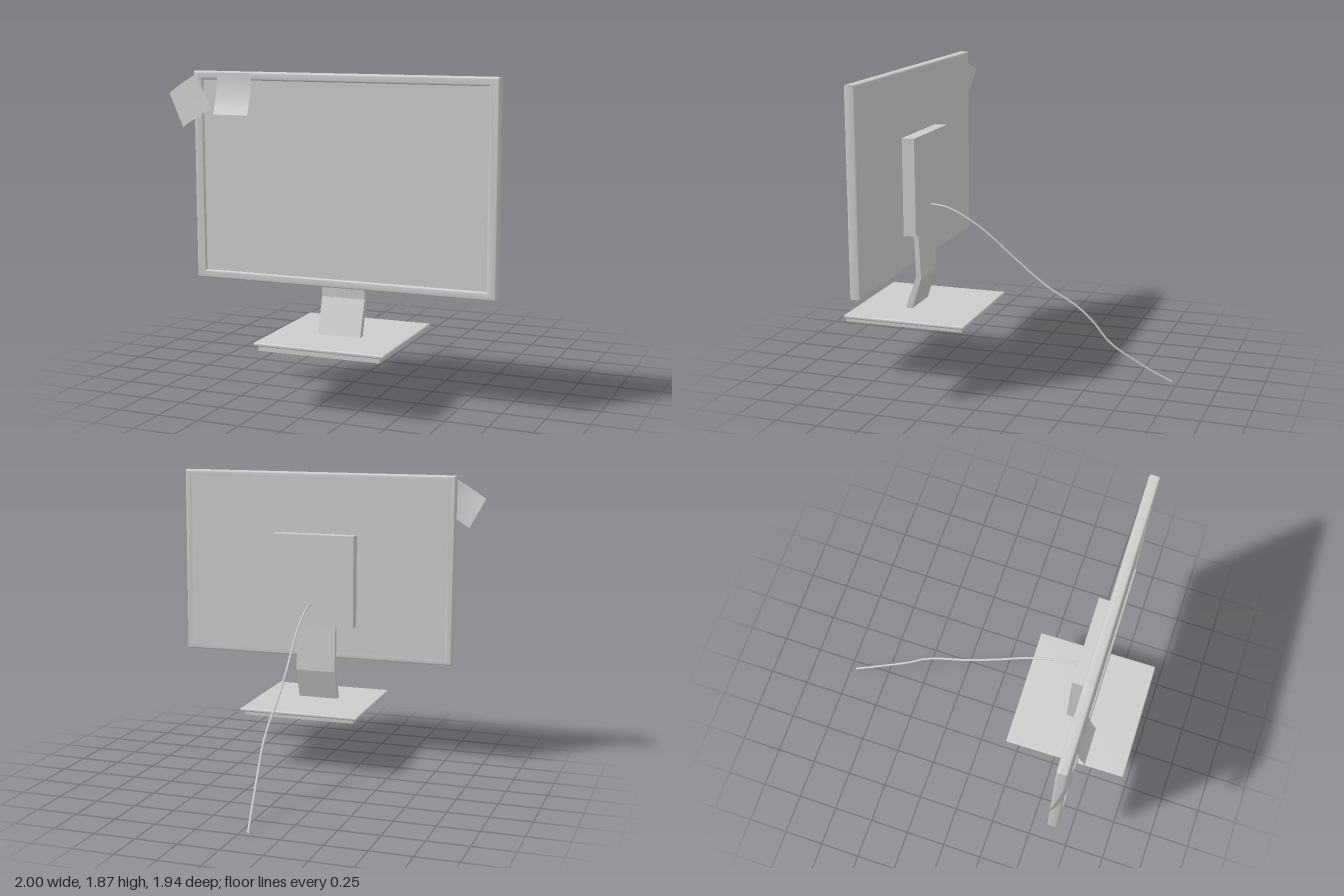
import * as THREE from 'three';
import { RoundedBoxGeometry } from 'three/addons/geometries/RoundedBoxGeometry.js';
import { toCreasedNormals } from 'three/addons/utils/BufferGeometryUtils.js';

const grey = new THREE.MeshStandardMaterial({ color: 0xcccccc });
const thin = new THREE.MeshStandardMaterial({ color: 0xcccccc, side: THREE.DoubleSide });

function add(parent, name, geometry, x = 0, y = 0, z = 0, material = grey) {
  const mesh = new THREE.Mesh(geometry, material);
  mesh.name = name;
  mesh.position.set(x, y, z);
  parent.add(mesh);
  return mesh;
}

// Rectangle outline, usable as a shape or a hole
function rect(Type, x0, y0, x1, y1) {
  return new Type([[x0, y0], [x1, y0], [x1, y1], [x0, y1]].map(([x, y]) => new THREE.Vector2(x, y)));
}

// Curled sheet: a plane grid whose points follow place(u, v), v running downwards
function sheet(place) {
  const geo = new THREE.PlaneGeometry(1, 1, 8, 8);
  const pos = geo.attributes.position;
  for (let i = 0; i < pos.count; i++) {
    pos.setXYZ(i, ...place(pos.getX(i) + 0.5, 0.5 - pos.getY(i)));
  }
  geo.computeVertexNormals();
  return geo;
}

export function createModel() {
  const model = new THREE.Group();
  model.name = 'monitor';

  // Display and stand share a slight turn
  const body = new THREE.Group();
  body.name = 'displayAndStand';
  body.position.set(0.085, 0, 0.6);
  body.rotation.y = 0.019;
  model.add(body);

  // Display frame with softened edges around a recessed screen
  const W = 1.81, H = 1.2, b = 0.012, depth = 0.064;
  const hw = W / 2 - 0.045, hh = H / 2 - 0.036;
  const outline = rect(THREE.Shape, -W / 2 + b, -H / 2 + b, W / 2 - b, H / 2 - b);
  outline.holes.push(rect(THREE.Path, -hw, -hh, hw, hh));
  const frameGeo = new THREE.ExtrudeGeometry(outline, {
    depth: depth - 2 * b, bevelEnabled: true, bevelSize: b, bevelThickness: b, bevelSegments: 3,
  });
  add(body, 'frame', toCreasedNormals(frameGeo, 0.6), 0.01, 1.27, b);
  add(body, 'screen', new THREE.BoxGeometry(2 * hw, 2 * hh, depth - 0.014), 0.01, 1.27, (depth - 0.014) / 2);

  // Housing on the back
  add(body, 'backHousing', new THREE.BoxGeometry(0.54, 0.59, 0.087), 0.005, 1.185, -0.0345);

  // Bent neck, profile drawn as (z, y)
  const neckShape = new THREE.Shape([
    [0.018, 0.385], [0.06, 0.385], [-0.014, 0.6], [-0.003, 0.92], [-0.032, 0.92], [-0.046, 0.585],
  ].map(([z, y]) => new THREE.Vector2(z, y)));
  const neckGeo = new THREE.ExtrudeGeometry(neckShape, { depth: 0.26, bevelEnabled: false });
  neckGeo.rotateY(-Math.PI / 2);
  add(body, 'neck', neckGeo, 0.125, 0, 0);

  // Base: thin rounded plate over a smaller foot
  add(body, 'basePlate', new RoundedBoxGeometry(0.775, 0.022, 0.775, 3, 0.009), -0.005, 0.383, -0.028);
  add(body, 'baseFoot', new THREE.BoxGeometry(0.72, 0.03, 0.745), -0.002, 0.363, -0.018);

  // Cable trailing from the housing down to the ground
  const path = new THREE.CatmullRomCurve3([
    [0.1, 1.035, 0.54], [0.095, 1.02, 0.42], [0.085, 0.91, 0.21], [0.07, 0.735, 0],
    [0.06, 0.575, -0.2], [0.048, 0.455, -0.4], [0.043, 0.365, -0.5], [0.032, 0.245, -0.6],
    [-0.01, 0.105, -0.8], [-0.05, 0.01, -0.965],
  ].map((p) => new THREE.Vector3(...p)));
  add(model, 'cable', new THREE.TubeGeometry(path, 70, 0.007, 8), 0, 0, 0, thin);

  // Note stuck at the top edge, its lower end curling forward
  add(model, 'straightNote', sheet((u, v) => [
    -0.655 + 0.215 * u, 1.863 - 0.233 * v, 0.683 - 0.004 * u + 0.056 * v * v,
  ]), 0, 0, 0, thin);

  // Tilted note over the corner, its outer side bending backward
  add(model, 'tiltedNote', sheet((u, v) => {
    const left = 0.63 + 0.04 * v, right = 0.686 + 0.012 * v;
    return [
      -1 + 0.205 * u + 0.11 * v,
      1.735 + 0.115 * u - 0.19 * v,
      left + (right - left) * u + 0.06 * u * (1 - u),
    ];
  }), 0, 0, 0, thin);

  return model;
}
